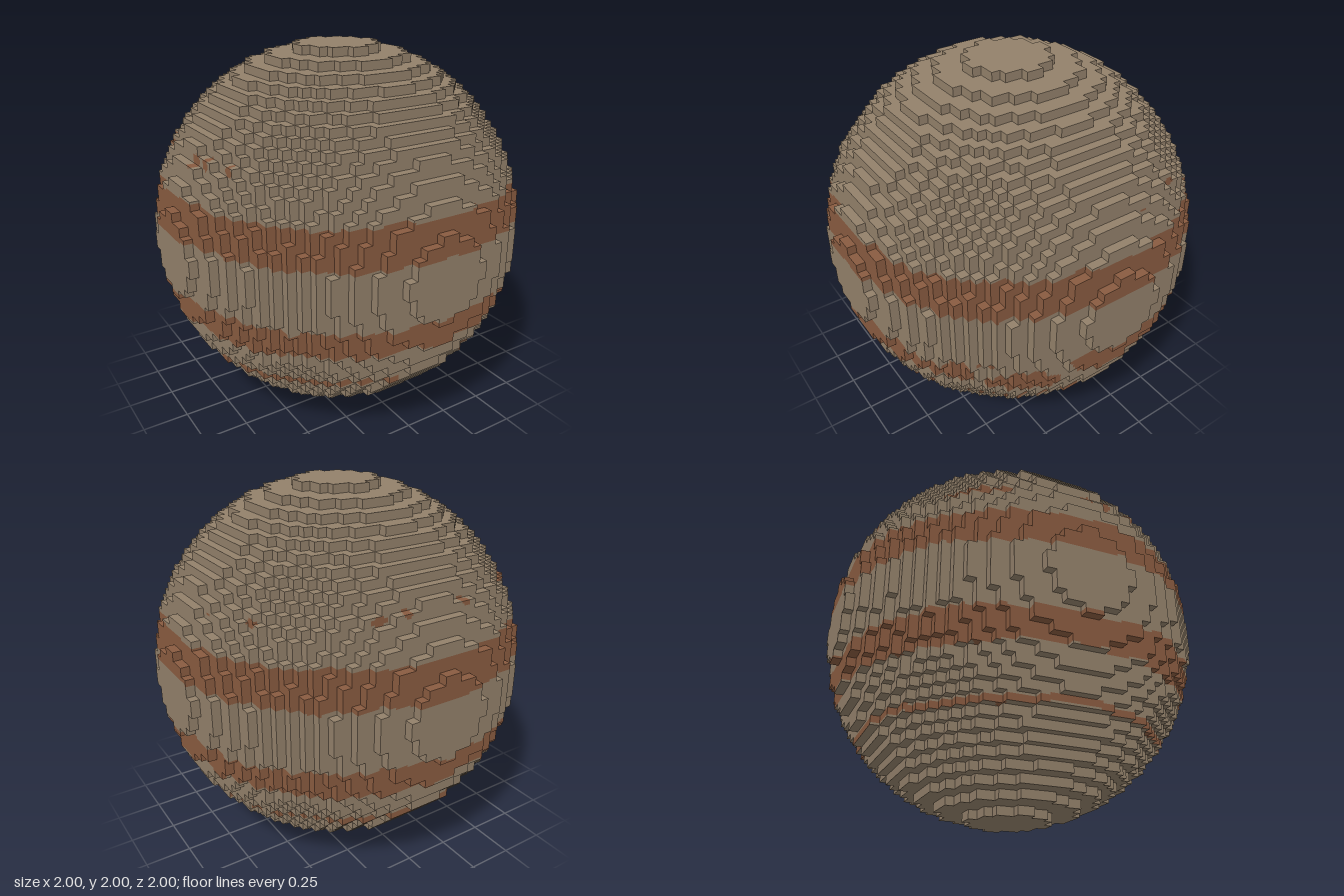
import * as THREE from 'three';

const R = 21;            // radius in cells
const CELL = 1 / R;      // cell size
const SUB = 4;           // paint subdivisions of a cell face on a colour border

// Patches as [azimuth, y, half azimuth, half height]; azimuth 0 is front, 90 is the model's left
const PATCHES = [
  [60, 0.635, 12, 0.09], [66, 0.6, 6, 0.06], [49.5, 0.785, 3, 0.018],                  // oval storm
  [6.5, 0.405, 2, 0.017], [26, 0.445, 6, 0.02], [22, 0.425, 4, 0.015], [97, 0.405, 1, 0.01],
  [-85, 1.5, 3, 0.03], [-78, 1.5, 2, 0.03], [-67, 1.5, 2, 0.025],                      // northern flecks
  [-123, 1.485, 13, 0.022], [-168, 1.52, 1.5, 0.02], [169, 1.52, 1.5, 0.02],
  [121, 1.475, 2, 0.022], [160, 1.5, 3, 0.02], [103, 1.46, 1, 0.01],
];
// Azimuth ranges of the thin southern stripe
const THIN = [[-180, -9.5], [39, 83], [85, 94], [103, 108], [114, 118], [122, 180]];

const wave = (a, p) =>
  0.006 * Math.sin(5 * a + p) + 0.005 * Math.sin(11 * a + 2.3 * p) + 0.003 * Math.sin(27 * a + p);
const inEllipse = (az, y, [ca, cy, ra, ry]) => ((az - ca) / ra) ** 2 + ((y - cy) / ry) ** 2 < 1;

// True where the surface point belongs to a rust coloured marking
function isRust(x, y, z) {
  if (y < 0.35 || y > 1.56) return false;
  const a = Math.atan2(x, z), az = THREE.MathUtils.radToDeg(a);
  // northern belt
  if (y > 1.115 + wave(a, 1) && y < 1.31 + wave(a, 2.2)) return true;
  // southern belt, broken around the oval storm
  if (y > 0.625 + wave(a, 4) && y < 0.785 + wave(a, 0.4)) {
    const gap = az > 45 && az < 73 + 30 * (0.8 - y);
    const bay = inEllipse(az, y, [31, 0.765, 7, 0.045]);
    if (!gap && !bay) return true;
  }
  // thin broken stripe
  if (Math.abs(y - 0.403 - 0.5 * wave(a, 3)) < 0.018 && THIN.some(([s, e]) => az > s && az < e)) return true;
  return PATCHES.some((p) => inEllipse(az, y, p));
}

const filled = (i, j, k) => (i + 0.5) ** 2 + (j + 0.5) ** 2 + (k + 0.5) ** 2 <= R * R;

function buildSurfaces() {
  const out = { tan: { pos: [], nor: [] }, rust: { pos: [], nor: [] } };

  // One rectangle on a cell face, from (u0,v0) to (u1,v1) in cell units
  function rect(target, at, n, u0, v0, u1, v1) {
    const c = [at(u0, v0), at(u1, v0), at(u1, v1), at(u0, v1)];
    for (const q of [0, 1, 2, 0, 2, 3]) {
      target.pos.push(...c[q]);
      target.nor.push(...n);
    }
  }

  // Exposed face of a cell, painted whole or in small squares
  function face(cell, axis, sign) {
    const n = [0, 0, 0];
    n[axis] = sign;
    const ua = (axis + (sign > 0 ? 1 : 2)) % 3, va = (axis + (sign > 0 ? 2 : 1)) % 3;
    const at = (u, v) => {
      const p = [...cell];
      p[axis] += sign > 0 ? 1 : 0;
      p[ua] += u;
      p[va] += v;
      return [p[0] * CELL, p[1] * CELL + 1, p[2] * CELL];
    };
    const marks = [];
    for (let s = 0; s < SUB * SUB; s++) {
      marks.push(isRust(...at(((s % SUB) + 0.5) / SUB, (Math.floor(s / SUB) + 0.5) / SUB)));
    }
    if (marks.every((m) => m === marks[0])) {
      rect(marks[0] ? out.rust : out.tan, at, n, 0, 0, 1, 1);
      return;
    }
    marks.forEach((m, s) => {
      const u = s % SUB, v = Math.floor(s / SUB);
      rect(m ? out.rust : out.tan, at, n, u / SUB, v / SUB, (u + 1) / SUB, (v + 1) / SUB);
    });
  }

  for (let i = -R; i < R; i++)
    for (let j = -R; j < R; j++)
      for (let k = -R; k < R; k++) {
        if (!filled(i, j, k)) continue;
        for (let axis = 0; axis < 3; axis++)
          for (const sign of [-1, 1]) {
            const next = [i, j, k];
            next[axis] += sign;
            if (!filled(...next)) face([i, j, k], axis, sign);
          }
      }
  return out;
}

function toMesh({ pos, nor }, color, materialName, name) {
  const geometry = new THREE.BufferGeometry();
  geometry.setAttribute('position', new THREE.Float32BufferAttribute(pos, 3));
  geometry.setAttribute('normal', new THREE.Float32BufferAttribute(nor, 3));
  const material = new THREE.MeshStandardMaterial({ color });
  material.name = materialName;
  const mesh = new THREE.Mesh(geometry, material);
  mesh.name = name;
  return mesh;
}

export function createModel() {
  const planet = new THREE.Group();
  planet.name = 'blockPlanet';
  const { tan, rust } = buildSurfaces();
  planet.add(toMesh(tan, 0x92806a, 'tan', 'planetSurface'));
  planet.add(toMesh(rust, 0x895b40, 'rust', 'cloudBelts'));
  return planet;
}
